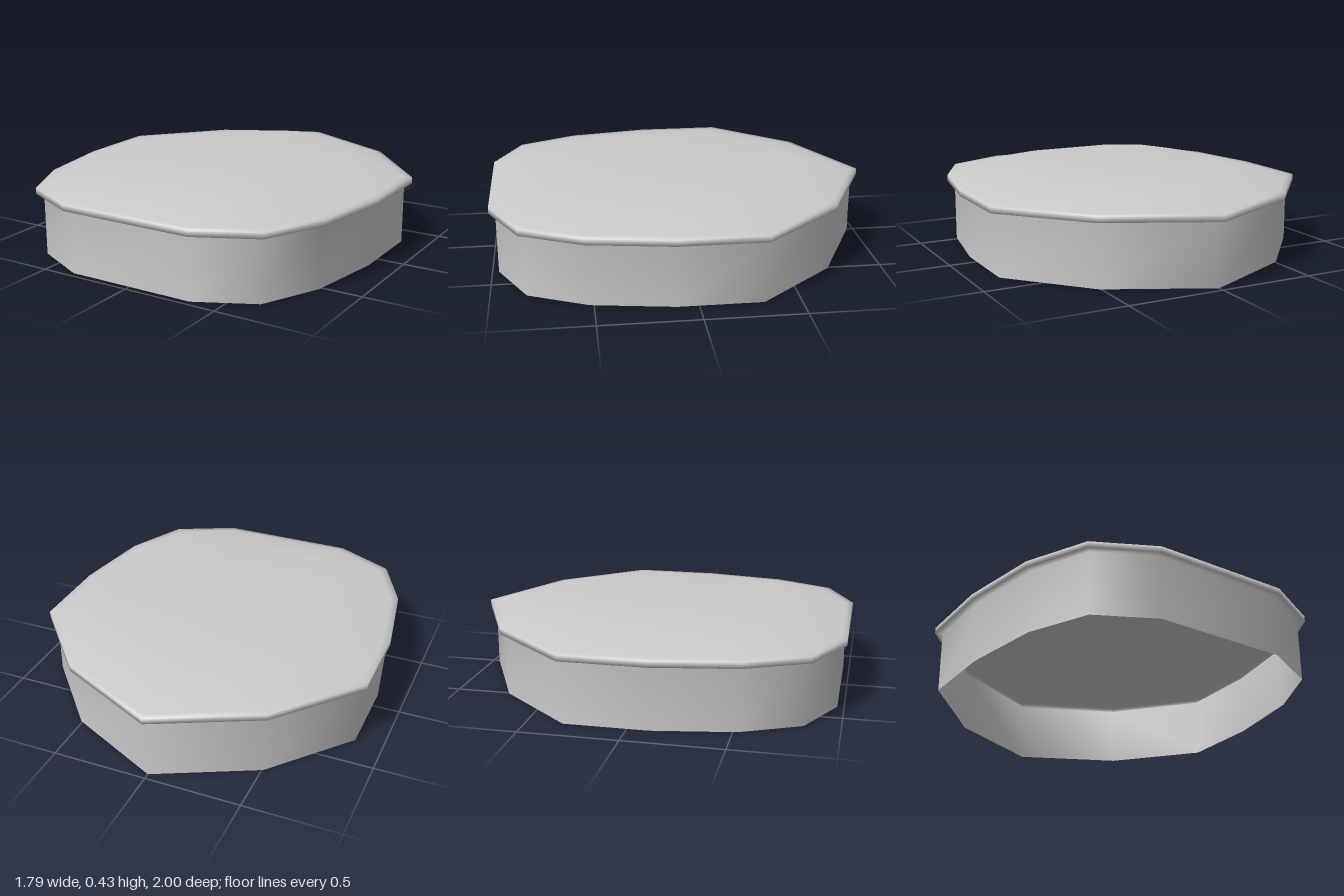
import * as THREE from 'three';

// Half outline of the rim, from the pointed back to the flat front: [x, z]
const HALF = [[0, -1], [0.53, -0.745], [0.893, -0.33], [0.893, 0.11], [0.82, 0.54], [0.67, 0.85], [0.36, 1]];
const OUTLINE = [...HALF, ...HALF.slice(1).reverse().map(([x, z]) => [-x, z])];

// Cross-sections from the open base to the flat top: [y, x scale, z scale]
const RINGS = [
  [0, 0.957, 0.967],      // base of wall
  [0.328, 0.957, 0.967],  // top of wall
  [0.328, 1, 1],          // underside of rim
  [0.36, 1, 1],           // top of rim
  [0.362, 0.957, 0.967],  // foot of bevel
  [0.43, 0.64, 0.685],    // edge of flat top
];

export function createModel() {
  const group = new THREE.Group();
  const n = OUTLINE.length;
  const positions = [];
  for (const [y, sx, sz] of RINGS) {
    for (const [x, z] of OUTLINE) positions.push(x * sx, y, z * sz);
  }
  const centre = positions.length / 3;
  positions.push(0, 0.43, 0);

  // Band of faces between ring r and the next one up
  const band = (r) => OUTLINE.flatMap((_, i) => {
    const j = (i + 1) % n;
    const a = r * n + i, b = r * n + j, c = a + n, d = b + n;
    return [a, c, b, b, c, d];
  });
  const wall = band(0);
  const lid = [1, 2, 3, 4].flatMap(band);
  const last = (RINGS.length - 1) * n;
  for (let i = 0; i < n; i++) lid.push(last + i, centre, last + (i + 1) % n);

  // Smooth normals run across the whole shell, so wall and lid share them
  const shell = new THREE.BufferGeometry();
  shell.setAttribute('position', new THREE.Float32BufferAttribute(positions, 3));
  shell.setIndex([...wall, ...lid]);
  shell.computeVertexNormals();

  const material = new THREE.MeshStandardMaterial({ color: 0xcccccc, side: THREE.DoubleSide });
  const addPart = (name, index) => {
    const geometry = shell.clone();
    geometry.setIndex(index);
    const mesh = new THREE.Mesh(geometry, material);
    mesh.name = name;
    group.add(mesh);
  };
  addPart('wall', wall);
  addPart('lid', lid);
  return group;
}
